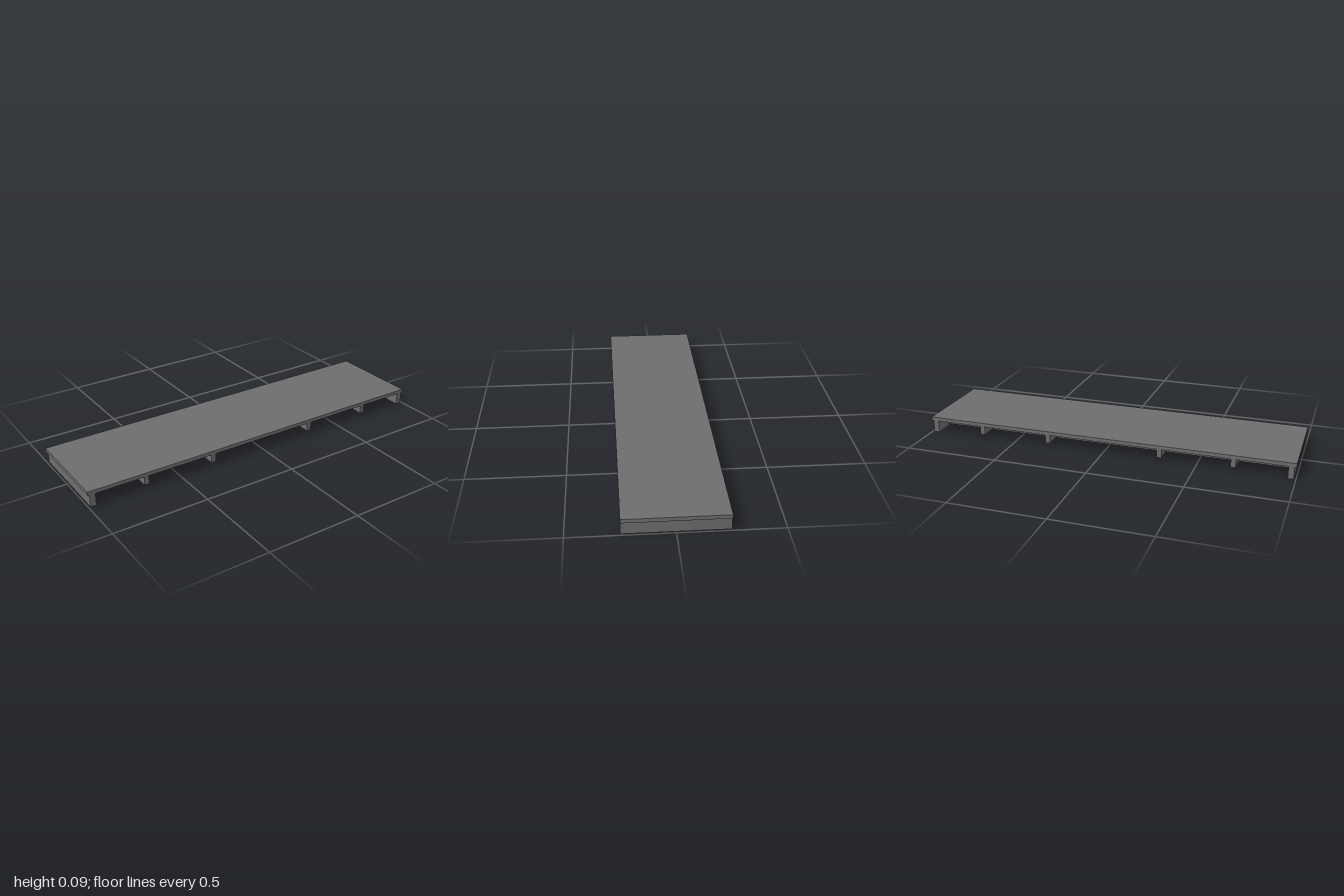
import * as THREE from 'three';

export function createModel() {
  const model = new THREE.Group();
  const grey = new THREE.MeshStandardMaterial({ color: 0x6e6e6e });
  grey.name = 'dark grey';

  const deckBottom = 0.065;
  const depth = 0.5;

  // Box spanning from bottom to top, centred on x and z
  function addBox(name, width, bottom, top, length, x = 0, z = 0) {
    const mesh = new THREE.Mesh(new THREE.BoxGeometry(width, top - bottom, length), grey);
    mesh.name = name;
    mesh.position.set(x, (bottom + top) / 2, z);
    model.add(mesh);
  }

  // Flat deck
  addBox('deck', 2, deckBottom, 0.085, depth);

  for (const side of [-1, 1]) {
    const label = side > 0 ? 'left' : 'right';
    // Deep beam under each end
    addBox(`${label}EndBeam`, 0.03, 0, deckBottom, depth, side * 0.975);
    // Shallow cross ribs
    addBox(`${label}InnerRib`, 0.026, 0.02, deckBottom, depth, side * 0.307);
    addBox(`${label}OuterRib`, 0.026, 0.02, deckBottom, depth, side * 0.69);
    // Long stringer between the end beams
    addBox(side > 0 ? 'frontStringer' : 'backStringer', 1.92, 0.01, deckBottom, 0.035, 0, side * 0.125);
  }
  return model;
}
